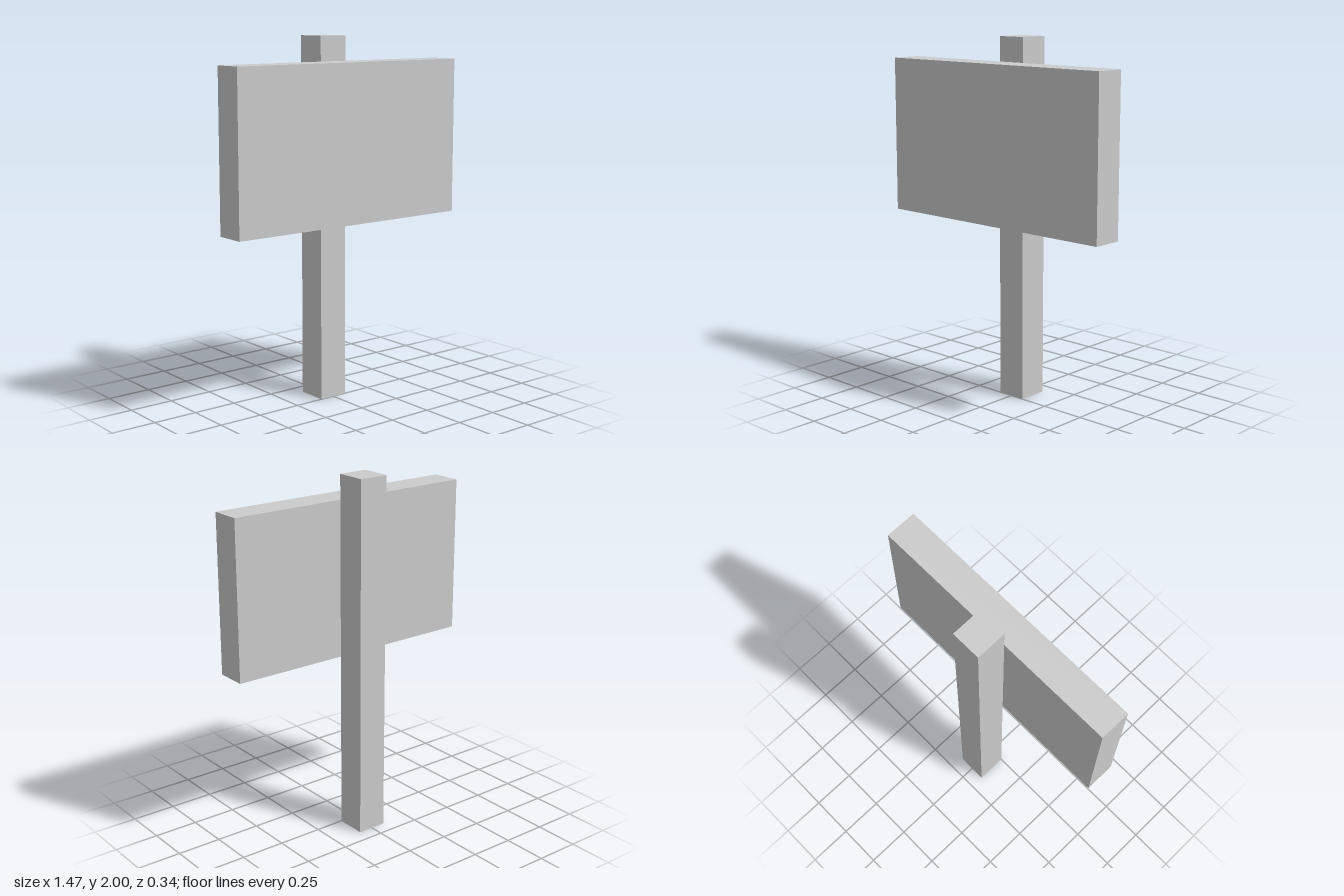
import * as THREE from 'three';

export function createModel() {
  const group = new THREE.Group();
  const material = new THREE.MeshStandardMaterial({ color: 0xcccccc, flatShading: true });
  const thickness = 0.171;

  function addBox(name, width, height, bottom, z) {
    const mesh = new THREE.Mesh(new THREE.BoxGeometry(width, height, thickness), material);
    mesh.name = name;
    mesh.position.set(0, bottom + height / 2, z);
    group.add(mesh);
  }

  // Square post standing behind the board
  addBox('post', 0.168, 2, 0, -thickness / 2);
  // Wide sign board fixed to the front of the post
  addBox('signBoard', 1.467, 0.865, 1, thickness / 2);

  return group;
}
